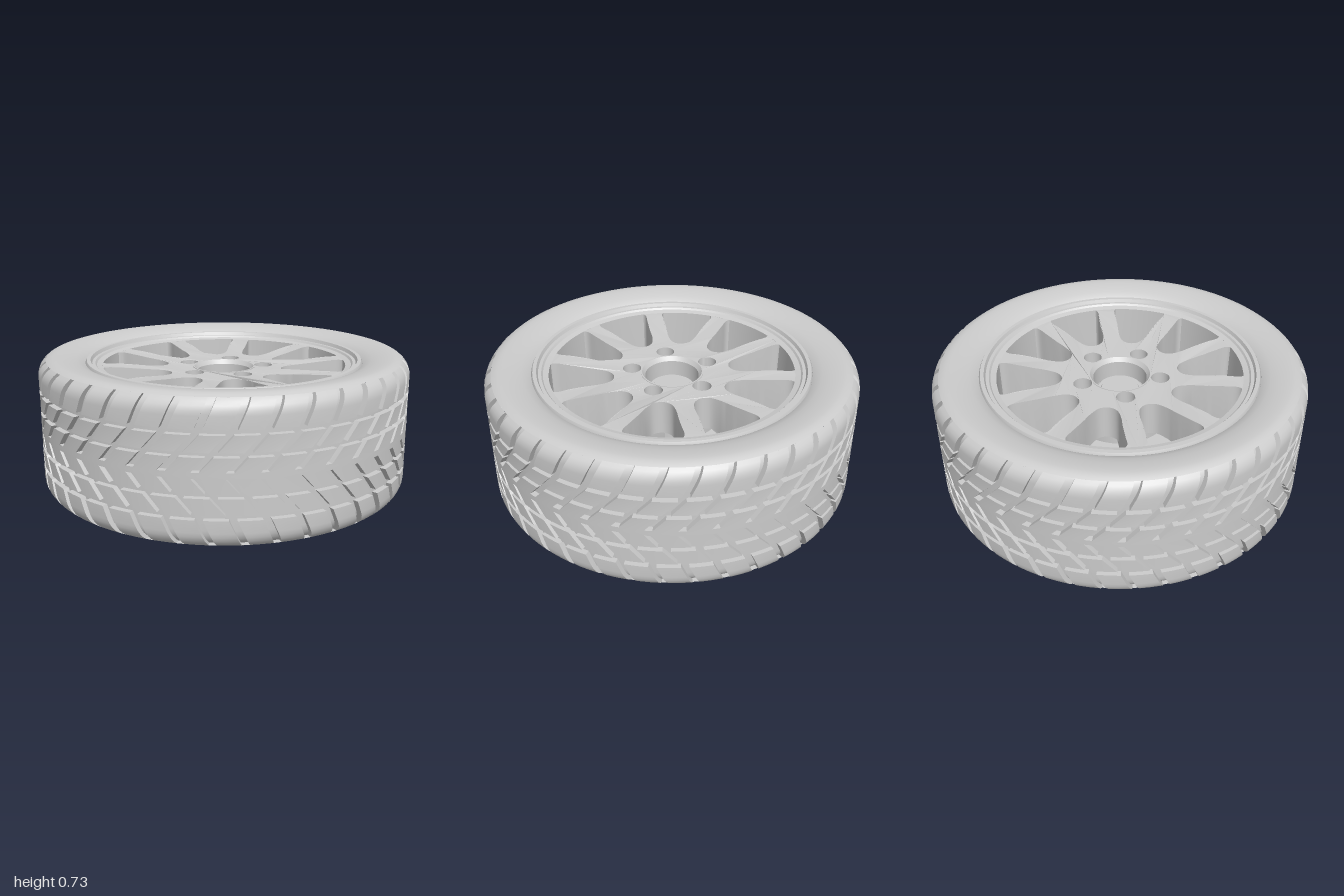
import * as THREE from 'three';
import { toCreasedNormals } from 'three/addons/utils/BufferGeometryUtils.js';

const MID = 0.365; // half the tyre width
const TAU = Math.PI * 2;
const grey = new THREE.MeshStandardMaterial({ color: 0xcccccc });

function mesh(name, geometry, crease = 0.55) {
  const m = new THREE.Mesh(toCreasedNormals(geometry, crease), grey);
  m.name = name;
  return m;
}

// Revolved part from [radius, height] pairs, counter-clockwise
function lathe(name, points, segments = 96) {
  return mesh(name, new THREE.LatheGeometry(points.map(([r, y]) => new THREE.Vector2(r, y)), segments));
}

function circle(radius, n, cx = 0, cy = 0) {
  return Array.from({ length: n }, (_, i) =>
    new THREE.Vector2(cx + radius * Math.cos(i / n * TAU), cy + radius * Math.sin(i / n * TAU)));
}

// Flat pierced plate lying in xz; heights come from rules of the radius
function plate(name, outline, holes, bottom, top) {
  const shape = new THREE.Shape(outline);
  shape.holes = holes.map(h => new THREE.Path(h));
  const geo = new THREE.ExtrudeGeometry(shape, { depth: 1, bevelEnabled: false });
  geo.rotateX(-Math.PI / 2);
  const p = geo.attributes.position;
  for (let i = 0; i < p.count; i++) {
    const r = Math.hypot(p.getX(i), p.getZ(i));
    p.setY(i, p.getY(i) > 0.5 ? top(r) : bottom(r));
  }
  return mesh(name, geo, 0.5);
}

// Tread: sheared grid whose rows and columns double up at groove walls
function treadGeometry() {
  const PITCHES = 40, DEPTH = 0.03, GROOVE = 0.25;
  // [distance from middle, radius, state]: T = solid, L = lateral grooves, C = ring groove
  const half = [[0, 1, 'T'], [0.015, 1, 'T'], [0.015, 1, 'L'], [0.085, 1, 'L'], [0.085, 1, 'C'],
    [0.108, 1, 'C'], [0.108, 1, 'L'], [0.188, 1, 'L'], [0.188, 1, 'C'], [0.213, 1, 'C'],
    [0.213, 1, 'L'], [0.275, 1, 'L']];
  for (const a of [0.25, 0.5, 0.75, 1])
    half.push([0.275 + 0.09 * Math.sin(a), 0.91 + 0.09 * Math.cos(a), 'L']);
  const end = half[half.length - 1];
  half.push([end[0], end[1], 'T']);
  const rows = [...half.slice(1).reverse().map(([d, r, s]) => [-d, r, s]), ...half];
  const columns = [[0, true], [GROOVE / 2, true], [GROOVE, true], [GROOVE, false], [0.62, false], [1, false]];

  const point = ([d, r, state], k, [u, low]) => {
    const a = Math.abs(d);
    const shift = 0.9 * Math.min(a, 0.2) + 0.45 * Math.max(0, a - 0.2);
    const t = (k + u) / PITCHES * TAU + shift;
    const rr = state === 'C' || (state === 'L' && low) ? r - DEPTH : r;
    return new THREE.Vector3(rr * Math.sin(t), MID + d, rr * Math.cos(t));
  };
  const out = [];
  const tri = (a, b, c) => {
    if (new THREE.Triangle(a, b, c).getArea() > 1e-8)
      for (const v of [a, b, c]) out.push(v.x, v.y, v.z);
  };
  for (let k = 0; k < PITCHES; k++)
    for (let j = 0; j < columns.length; j++) {
      const last = j === columns.length - 1;
      const c0 = columns[j], c1 = last ? columns[0] : columns[j + 1], k1 = last ? k + 1 : k;
      for (let i = 0; i < rows.length - 1; i++) {
        const a = point(rows[i], k, c0), b = point(rows[i], k1, c1);
        const c = point(rows[i + 1], k1, c1), d = point(rows[i + 1], k, c0);
        tri(a, b, c);
        tri(a, c, d);
      }
    }
  const geo = new THREE.BufferGeometry();
  geo.setAttribute('position', new THREE.Float32BufferAttribute(out, 3));
  return geo;
}

export function createModel() {
  const wheel = new THREE.Group();
  wheel.name = 'wheel';

  // Tyre
  wheel.add(mesh('tread', treadGeometry()));
  const wall = [];
  for (const a of [1, 1.2, 1.4, Math.PI / 2])
    wall.push([0.91 + 0.09 * Math.cos(a), 0.275 + 0.09 * Math.sin(a)]);
  wall.push([0.88, 0.363], [0.84, 0.357], [0.80, 0.347], [0.77, 0.335], [0.752, 0.322], [0.745, 0.30]);
  wheel.add(lathe('upperSidewall', wall.map(([r, d]) => [r, MID + d]), 120));
  wheel.add(lathe('lowerSidewall', wall.map(([r, d]) => [r, MID - d]).reverse(), 120));

  // Rim with stepped lips
  wheel.add(lathe('rim', [[0.745, 0.70], [0.725, 0.70], [0.717, 0.682], [0.70, 0.682], [0.692, 0.672],
    [0.662, 0.665], [0.66, 0.45], [0.662, 0.2], [0.685, 0.09], [0.70, 0.06], [0.705, 0.035], [0.72, 0.035],
    [0.73, 0.022], [0.755, 0.022], [0.762, 0.04], [0.755, 0.07], [0.755, 0.68], [0.745, 0.70]], 120));

  // Ten-spoke face: rounded windows, lug holes and centre bore
  const side = [[0.045, 0.333], [0.077, 0.39], [0.10, 0.47], [0.129, 0.56], [0.15, 0.625],
    [0.14, 0.652], [0.10, 0.661]];
  const loop = [[0, 0.315], ...side, [0, 0.668], ...side.map(([x, y]) => [-x, y]).reverse()];
  const curve = new THREE.CatmullRomCurve3(loop.map(([x, y]) => new THREE.Vector3(x, y, 0)), true);
  const windowPoints = curve.getPoints(64).slice(0, 64).map(p => new THREE.Vector2(p.x, p.y));
  const windows = Array.from({ length: 10 }, (_, i) =>
    windowPoints.map(p => p.clone().rotateAround(new THREE.Vector2(), i * TAU / 10)));
  const lugs = Array.from({ length: 5 }, (_, i) => {
    const a = Math.PI + i * TAU / 5;
    return [0.22 * Math.cos(a), 0.22 * Math.sin(a)];
  });
  const lugHoles = radius => lugs.map(([x, y]) => circle(radius, 24, x, y));
  wheel.add(plate('spokes', circle(0.69, 120), [...windows, ...lugHoles(0.05), circle(0.165, 48)],
    r => 0.45 - 0.25 * Math.pow(THREE.MathUtils.clamp((r - 0.42) / 0.24, 0, 1), 2),
    r => 0.64 + 0.025 * THREE.MathUtils.smoothstep(r, 0.3, 0.66)));

  // Counterbored lug seats
  for (const [x, y] of lugs) {
    const seat = lathe('lugSeat', [[0.053, 0.46], [0.053, 0.56], [0.035, 0.56], [0.025, 0.55],
      [0.025, 0.46], [0.053, 0.46]], 24);
    seat.position.set(x, 0, -y);
    wheel.add(seat);
  }

  // Centre bore sleeve with a floor around the hub
  wheel.add(lathe('centreBore', [[0.17, 0.45], [0.17, 0.643], [0.162, 0.643], [0.145, 0.62],
    [0.145, 0.52], [0.12, 0.52], [0.12, 0.45], [0.17, 0.45]], 64));

  // Hub shaft, blind bore at the back
  wheel.add(lathe('hub', [[0, 0.25], [0.05, 0.25], [0.05, 0.09], [0.125, 0.09], [0.13, 0.095],
    [0.13, 0.535], [0.122, 0.545], [0.105, 0.545], [0.098, 0.56], [0, 0.56]], 64));

  // Brake disc and its raised centre
  const inner = [...lugHoles(0.025), circle(0.16, 48)];
  wheel.add(plate('brakeDisc', circle(0.43, 96), inner, () => 0.33, () => 0.37));
  wheel.add(plate('discBell', circle(0.27, 64), inner, () => 0.365, () => 0.455));

  return wheel;
}
